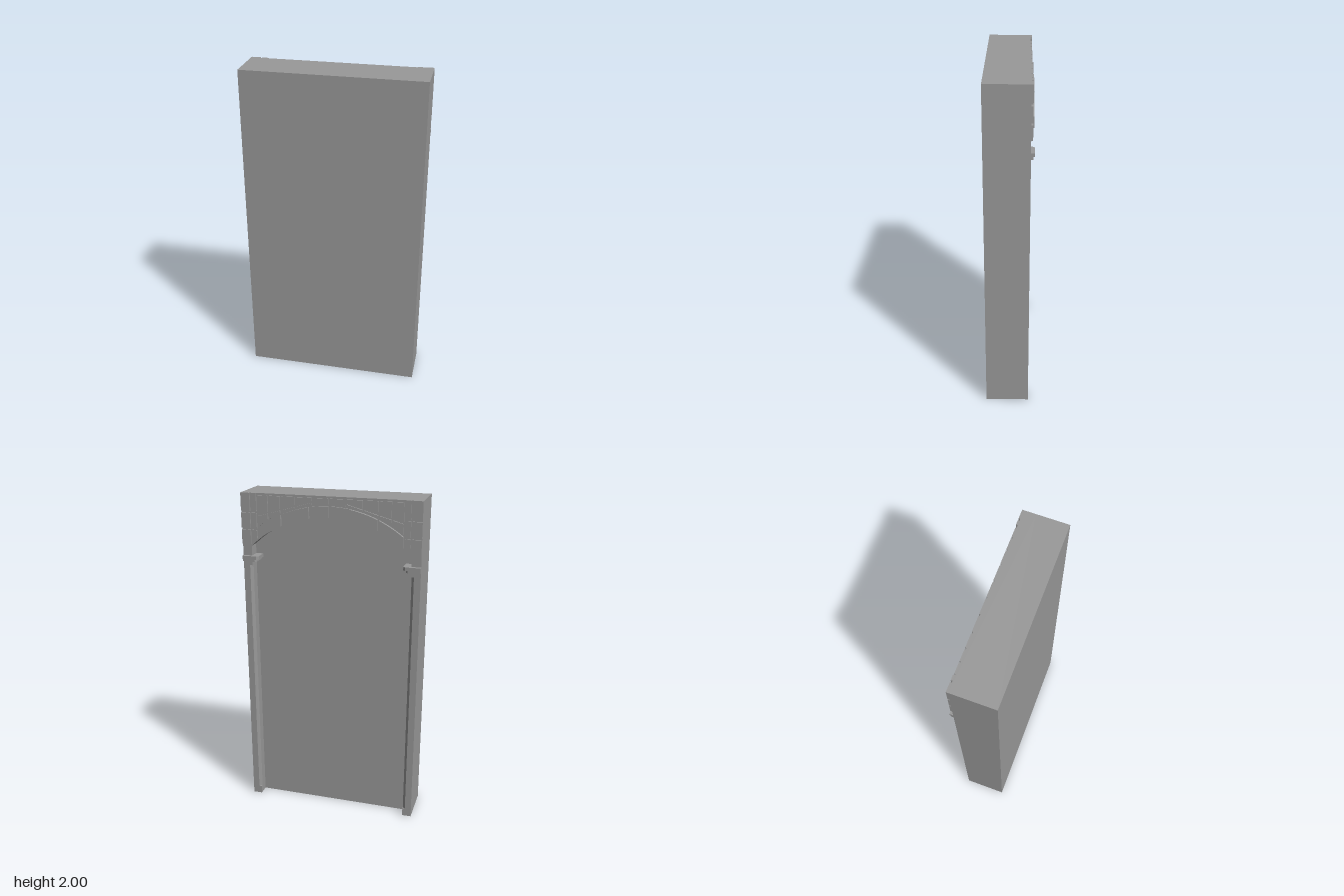
import * as THREE from 'three';

const W = 0.535, H = 2;                      // half width and height
const FRONT = 0.138, WALL = -0.05, BACK = -0.117; // front face, niche floor, arch face
const IN = 0.48;                             // half width of the opening
const R = 0.70, CY = 1.18, RING = 0.065;     // arch circle and ring thickness
const GAP = 0.005;                           // half of a stone joint

const arcY = (x) => CY + Math.sqrt(R * R - x * x);
const ringY = (x) => arcY(x) + RING;

// points along a curve y = f(x)
function along(f, x0, x1, n) {
  const pts = [];
  for (let i = 0; i <= n; i++) {
    const x = x0 + ((x1 - x0) * i) / n;
    pts.push([x, f(x)]);
  }
  return pts;
}

export function createModel() {
  const group = new THREE.Group();
  const stone = new THREE.MeshStandardMaterial({ color: 0x999999 });
  stone.name = 'grey stone';

  function add(geometry, name, parent = group) {
    const mesh = new THREE.Mesh(geometry, stone);
    mesh.name = name;
    parent.add(mesh);
    return mesh;
  }

  // an outline in x and y, extruded from z0 to z1
  function plate(points, z0, z1, name, side = 1, parent = group) {
    const shape = new THREE.Shape(points.map(([x, y]) => new THREE.Vector2(side * x, y)));
    const geo = new THREE.ExtrudeGeometry(shape, { depth: z1 - z0, bevelEnabled: false });
    geo.translate(0, 0, z0);
    return add(geo, name, parent);
  }

  // a plan outline in x and z, extruded from y0 to y1
  function column(points, y0, y1, name, side, parent) {
    const shape = new THREE.Shape(points.map(([x, z]) => new THREE.Vector2(side * x, -z)));
    const geo = new THREE.ExtrudeGeometry(shape, { depth: y1 - y0, bevelEnabled: false });
    geo.rotateX(-Math.PI / 2);
    geo.translate(0, y0, 0);
    return add(geo, name, parent);
  }

  // solid wall behind the niche
  const slab = new THREE.BoxGeometry(2 * W, H, FRONT - WALL);
  slab.translate(0, H / 2, (FRONT + WALL) / 2);
  add(slab, 'wall');

  // arch with the upper ends of the pillars
  const TOP = 1.57, FOOT = 0.05, CH = 0.016;
  plate([[-W, TOP], [-IN, TOP], ...along(arcY, -IN, IN, 24), [IN, TOP], [W, TOP], [W, H], [-W, H]],
    BACK, WALL, 'arch');

  for (const side of [1, -1]) {
    const half = new THREE.Group();
    half.name = side > 0 ? 'leftStonework' : 'rightStonework';
    group.add(half);

    // pillar: square foot and a shaft with its inner corner cut off
    column([[IN, WALL], [IN, BACK], [W, BACK], [W, WALL]], 0, FOOT, 'pillarFoot', side, half);
    column([[IN, WALL], [IN, BACK + CH], [IN + CH, BACK], [W, BACK], [W, WALL]],
      FOOT, TOP, 'pillarShaft', side, half);

    // impost: slab with a narrower course underneath
    const impost = (x, z, c) => [[x, WALL], [x, z + c], [x + c, z], [W, z], [W, WALL]];
    column(impost(0.435, -0.138, 0.012), 1.61, 1.63, 'impost', side, half);
    column(impost(0.45, -0.13, 0.01), 1.595, 1.61, 'impostUnderside', side, half);

    // ring of arch stones, the outer ones standing further out
    const joints = [0, 0.115, 0.285, 0.435];
    for (let i = 0; i < 3; i++) {
      const a = joints[i] + GAP, b = joints[i + 1] - GAP;
      plate([...along(arcY, a, b, 6), ...along(ringY, b, a, 6)],
        i ? -0.134 : -0.126, BACK + 0.003, 'archStone', side, half);
    }

    // quoins, alternately long and short
    const beds = [1.70, 1.79, 1.89, 2.0];
    for (let i = 0; i < 3; i++) {
      const y0 = beds[i] + (i ? GAP : 0), y1 = beds[i + 1] - (i < 2 ? GAP : 0);
      const block = (x0, x1, low, name) =>
        plate([[x0, low], [x1, low], [x1, y1], [x0, y1]], -0.127, BACK + 0.003, name, side, half);
      block(0.48, W, y0, 'quoin');
      block(0.44, 0.47, i ? y0 : 1.735, 'quoinReturn');
    }

    // spandrel stones between the ring and the top
    const cols = [0, 0.10, 0.20, 0.29, 0.365, 0.435];
    for (let i = 0; i < 5; i++) {
      const a = cols[i] + GAP, b = cols[i + 1] - GAP;
      const low = (x) => ringY(x) + 2 * GAP;
      const top = H - 0.012;
      if (i === 0) {
        plate([...along(low, a, b, 3), [b, top], [a, top]], -0.126, BACK + 0.003, 'spandrelStone', side, half);
        continue;
      }
      // each column is cut by a slanting joint
      const cut = (x) => H - 0.02 - 0.28 * (x - 0.05);
      plate([...along(low, a, b, 3), [b, cut(b) - GAP], [a, Math.max(cut(a) - GAP, low(a) + 0.004)]],
        -0.126, BACK + 0.003, 'spandrelStone', side, half);
      plate([[a, cut(a) + GAP], [b, cut(b) + GAP], [b, top], [a, top]],
        -0.126, BACK + 0.003, 'spandrelStone', side, half);
    }
  }
  return group;
}
